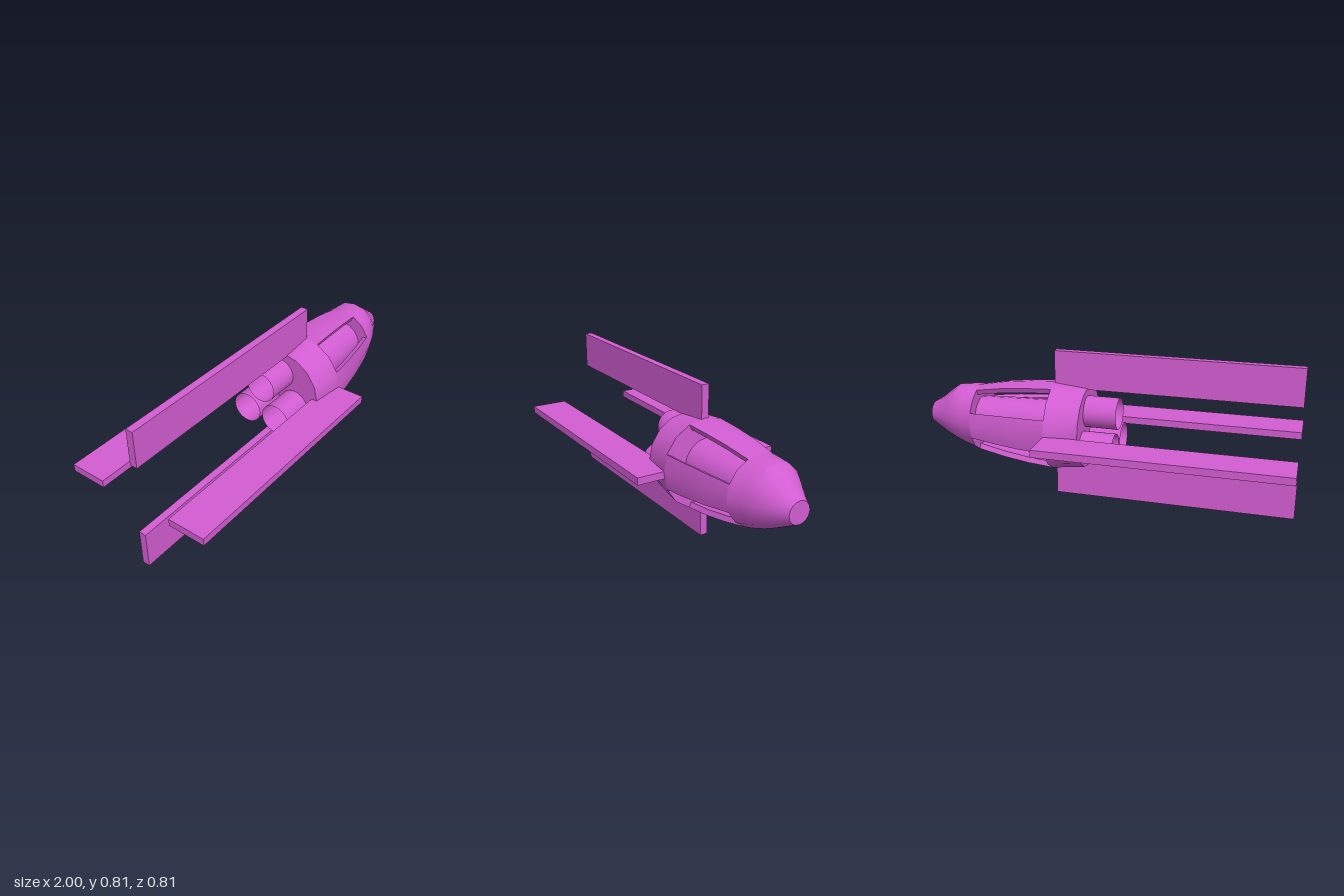
import * as THREE from 'three';
import { toCreasedNormals } from 'three/addons/utils/BufferGeometryUtils.js';

const SIDES = 16;
const STEP = (Math.PI * 2) / SIDES;

// Hull stations: [x, radius, centre y, centre z]
const RING = [[0.11, 0.219, 0.4, 0.016], [0.29, 0.24, 0.398, 0.018]];
const SHELL = [RING[1], [0.43, 0.229, 0.401, 0.013], [0.57, 0.211, 0.405, 0.008], [0.715, 0.183, 0.408, 0.003]];
// Nose stations carry a fifth value: the radius along the raised canopy
const NOSE = [
  [0.715, 0.183, 0.408, 0.003, 0.183], [0.78, 0.163, 0.408, 0.002, 0.18],
  [0.84, 0.14, 0.409, 0.002, 0.175], [0.89, 0.117, 0.41, 0.002, 0.137],
  [0.945, 0.088, 0.411, 0.002, 0.092], [1, 0.058, 0.411, 0.002, 0.058],
];

const polar = ([x, , cy, cz], r, a) => new THREE.Vector3(x, cy + r * Math.cos(a), cz + r * Math.sin(a));

// Skin a list of closed cross-sections running along +x
function loft(rings, caps) {
  const pos = [];
  const tri = (...pts) => pts.forEach((p) => pos.push(p.x, p.y, p.z));
  const n = rings[0].length;
  for (let i = 0; i < rings.length - 1; i++) {
    for (let j = 0; j < n; j++) {
      const k = (j + 1) % n;
      const a = rings[i][j], b = rings[i][k], c = rings[i + 1][j], d = rings[i + 1][k];
      tri(a, b, c);
      tri(b, d, c);
    }
  }
  if (caps) {
    const first = rings[0], last = rings[rings.length - 1];
    const mid = (ring) => ring.reduce((s, p) => s.add(p), new THREE.Vector3()).divideScalar(n);
    const m0 = mid(first), m1 = mid(last);
    for (let j = 0; j < n; j++) {
      const k = (j + 1) % n;
      tri(m0, first[k], first[j]);
      tri(m1, last[j], last[k]);
    }
  }
  const geo = new THREE.BufferGeometry();
  geo.setAttribute('position', new THREE.Float32BufferAttribute(pos, 3));
  return toCreasedNormals(geo, 0.65);
}

// Full round section; the top vertices bulge towards the canopy radius
function roundSection(s) {
  const weights = [1, 1, 0.6, 0.1];
  return Array.from({ length: SIDES }, (_, j) => {
    const w = weights[Math.min(j, SIDES - j)] ?? 0;
    return polar(s, THREE.MathUtils.lerp(s[1], s[4] ?? s[1], w), j * STEP);
  });
}

export function createModel() {
  const model = new THREE.Group();
  const purple = new THREE.MeshStandardMaterial({ color: 0xd25dd2 });
  purple.name = 'purple';
  const purpleOpen = purple.clone();
  purpleOpen.name = 'purple';
  purpleOpen.side = THREE.DoubleSide;

  const add = (name, geo, mat = purple) => {
    const mesh = new THREE.Mesh(geo, mat);
    mesh.name = name;
    model.add(mesh);
    return mesh;
  };

  // Rear hull ring and nose with canopy
  add('hullRing', loft(RING.map(roundSection), true));
  add('nose', loft(NOSE.map(roundSection), true));

  // Inner core seen through the four diagonal openings
  const core = [[0.28, 0.131, 0.404, 0.004], [0.72, 0.118, 0.404, 0.004]];
  add('innerCore', loft(core.map(roundSection), false));

  // Four thin shell strips joining the ring to the nose
  ['top', 'left', 'bottom', 'right'].forEach((side, q) => {
    const mid = (q * Math.PI) / 2;
    const sections = SHELL.map((s) => [
      ...[-1, 0, 1].map((k) => polar(s, s[1], mid + k * STEP)),
      ...[1, 0, -1].map((k) => polar(s, s[1] - 0.03, mid + k * STEP)),
    ]);
    add(side + 'HullStrip', loft(sections, false));
  });

  // Three open engine tubes
  const tube = new THREE.CylinderGeometry(0.084, 0.084, 0.175, 32, 1, true).rotateZ(Math.PI / 2);
  [['top', 0.492, -0.002], ['left', 0.324, 0.092], ['right', 0.324, -0.092]].forEach(([side, y, z]) => {
    add(side + 'Engine', tube, purpleOpen).position.set(0.0225, y, z);
  });

  // Four long fins: [name, y min, y max, z min, z max]
  [
    ['topFin', 0.61, 0.81, 0, 0.04],
    ['bottomFin', 0, 0.203, 0, 0.04],
    ['leftFin', 0.366, 0.405, 0.203, 0.404],
    ['rightFin', 0.366, 0.405, -0.404, -0.208],
  ].forEach(([name, y0, y1, z0, z1]) => {
    add(name, new THREE.BoxGeometry(1.29, y1 - y0, z1 - z0))
      .position.set(-0.355, (y0 + y1) / 2, (z0 + z1) / 2);
  });

  return model;
}
